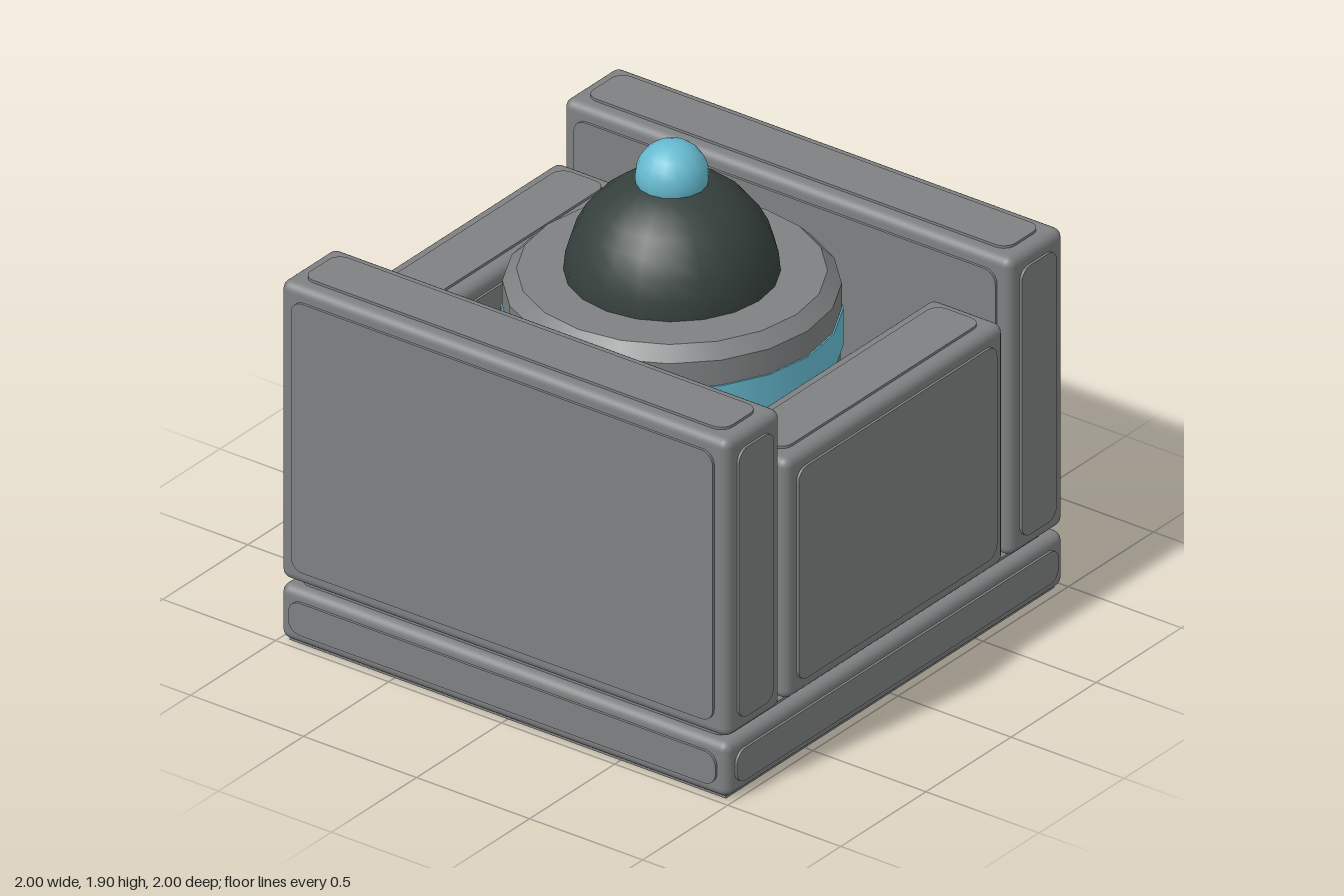
import * as THREE from 'three';
import { RoundedBoxGeometry } from 'three/addons/geometries/RoundedBoxGeometry.js';

const mat = (name, color) => {
  const m = new THREE.MeshStandardMaterial({ color });
  m.name = name;
  return m;
};

// Thin plate with rounded corners, facing +z
function plateGeometry(w, h) {
  const r = 0.05, x = w / 2, y = h / 2;
  const s = new THREE.Shape();
  s.moveTo(-x + r, -y);
  s.lineTo(x - r, -y).absarc(x - r, -y + r, r, -Math.PI / 2, 0, false);
  s.lineTo(x, y - r).absarc(x - r, y - r, r, 0, Math.PI / 2, false);
  s.lineTo(-x + r, y).absarc(-x + r, y - r, r, Math.PI / 2, Math.PI, false);
  s.lineTo(-x, -y + r).absarc(-x + r, -y + r, r, Math.PI, Math.PI * 1.5, false);
  return new THREE.ExtrudeGeometry(s, { depth: 0.012, bevelEnabled: false, curveSegments: 4 });
}

export function createModel() {
  const gray = mat('stone gray', 0x7e8081);
  const dark = mat('dark green gray', 0x35403d);
  const teal = mat('pale teal', 0x66bad0);
  const model = new THREE.Group();

  const add = (parent, name, geometry, material, x = 0, y = 0, z = 0) => {
    const mesh = new THREE.Mesh(geometry, material);
    mesh.name = name;
    mesh.position.set(x, y, z);
    parent.add(mesh);
    return mesh;
  };

  // Rounded block with a raised panel on each face
  function block(name, w, h, d, x, y, z, margin, openBottom = false) {
    const group = new THREE.Group();
    group.name = name;
    group.position.set(x, y, z);
    add(group, 'body', new RoundedBoxGeometry(w, h, d, 3, 0.035), gray);
    const faces = [
      ['frontPanel', w, h, d, 0, 0],
      ['backPanel', w, h, d, 0, Math.PI],
      ['leftPanel', d, h, w, 0, Math.PI / 2],
      ['rightPanel', d, h, w, 0, -Math.PI / 2],
      ['topPanel', w, d, h, -Math.PI / 2, 0],
      ['bottomPanel', w, d, h, Math.PI / 2, 0],
    ];
    for (const [label, a, b, depth, rx, ry] of faces) {
      if (openBottom && label === 'bottomPanel') continue;
      const panel = add(group, label, plateGeometry(a - 2 * margin, b - 2 * margin), gray);
      panel.rotation.set(rx, ry, 0);
      panel.position.set(0, 0, depth / 2 - 0.002).applyEuler(panel.rotation);
    }
    model.add(group);
  }

  // Base slab and its flat underside
  block('base', 1.98, 0.22, 1.98, 0, 0.12, 0, 0.045, true);
  add(model, 'underside', new THREE.BoxGeometry(1.93, 0.03, 1.93), gray, 0, 0.015, 0);

  // Tall side walls, lower front and back walls
  for (const s of [1, -1]) {
    block(s > 0 ? 'leftWall' : 'rightWall', 0.32, 1.2, 1.98, s * 0.83, 0.853, 0, 0.057);
    block(s > 0 ? 'frontWall' : 'backWall', 1.28, 0.97, 0.32, 0, 0.737, s * 0.83, 0.057);
  }

  // Central drum, glowing band and chamfered cap
  add(model, 'drum', new THREE.CylinderGeometry(0.595, 0.595, 0.87, 20), gray, 0, 0.665, 0);
  add(model, 'band', new THREE.CylinderGeometry(0.606, 0.606, 0.15, 20), teal, 0, 1.165, 0);
  add(model, 'cap', new THREE.CylinderGeometry(0.6, 0.6, 0.1, 20), gray, 0, 1.29, 0);
  add(model, 'capChamfer', new THREE.CylinderGeometry(0.55, 0.6, 0.05, 20), gray, 0, 1.365, 0);

  // Dome and the small ball on top
  add(model, 'dome', new THREE.SphereGeometry(0.385, 20, 8, 0, Math.PI * 2, 0, Math.PI / 2), dark, 0, 1.385, 0);
  add(model, 'topBall', new THREE.SphereGeometry(0.133, 16, 12), teal, 0, 1.772, 0);

  return model;
}
